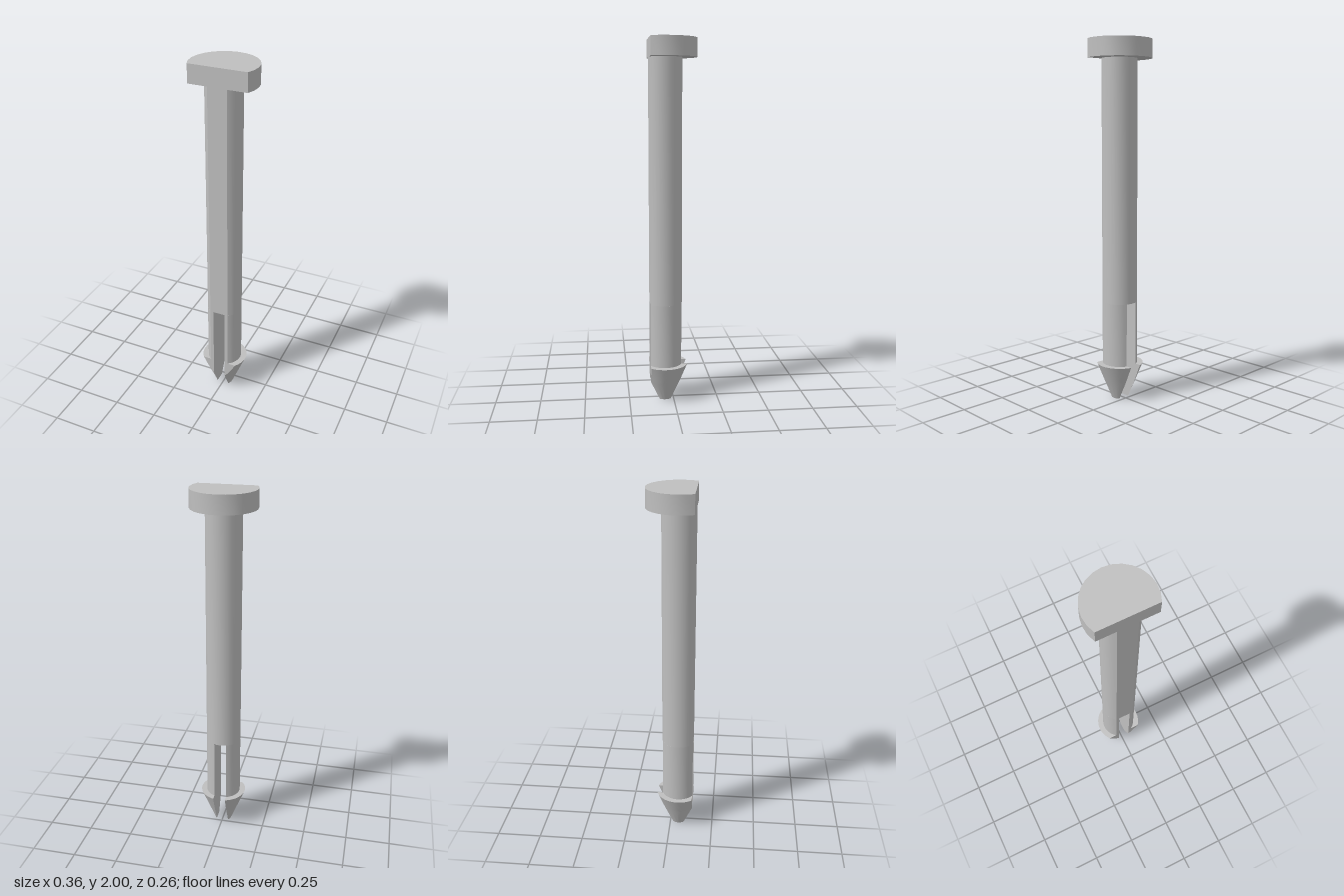
import * as THREE from 'three';
import { toCreasedNormals } from 'three/addons/utils/BufferGeometryUtils.js';

const AXIS_Z = 0.048;  // axis of the round sections
const FLAT = 0.082;    // flat front face, measured from the axis
const SLOT = 0.035;    // half width of the slot
const SLOT_TOP = 0.56;
const BARB_TOP = 0.205;
const SHAFT_R = 0.0975;

// Points on an arc, running clockwise as seen from above
function arc(r, from, to, n) {
  return Array.from({ length: n + 1 }, (_, i) => {
    const a = from + ((to - from) * i) / n;
    return [r * Math.cos(a), r * Math.sin(a)];
  });
}

// Circle with its front cut flat
function dSection(r, n) {
  const b = Math.asin(FLAT / r);
  return arc(r, -Math.PI - b, b, n);
}

// The part of that section on one side of the slot
function halfSection(r, side) {
  const a = Math.acos(SLOT / r);
  const b = Math.min(a, Math.asin(Math.min(1, FLAT / r)));
  const pts = arc(r, -a, b, 12);
  pts.push([SLOT, Math.min(FLAT, r * Math.sin(a))]);
  return side > 0 ? pts : pts.map(([x, z]) => [-x, z]).reverse();
}

// Closed solid through convex sections, listed from bottom to top
function loft(rows) {
  const pos = [];
  const put = (row, i) => {
    const p = row.pts[i % row.pts.length];
    pos.push(p[0], row.y, p[1] + AXIS_Z);
  };
  const n = rows[0].pts.length;
  for (let k = 0; k + 1 < rows.length; k++) {
    const lo = rows[k], hi = rows[k + 1];
    for (let i = 0; i < n; i++) {
      put(lo, i); put(hi, i); put(hi, i + 1);
      put(lo, i); put(hi, i + 1); put(lo, i + 1);
    }
  }
  const bottom = rows[0], top = rows[rows.length - 1];
  for (let i = 1; i < n - 1; i++) {
    put(bottom, 0); put(bottom, i); put(bottom, i + 1);
    put(top, 0); put(top, i + 1); put(top, i);
  }
  const geo = new THREE.BufferGeometry();
  geo.setAttribute('position', new THREE.Float32BufferAttribute(pos, 3));
  return toCreasedNormals(geo, Math.PI / 6);
}

export function createModel() {
  const group = new THREE.Group();
  const grey = new THREE.MeshStandardMaterial({ color: 0xbfbfbf });
  grey.name = 'grey plastic';

  const add = (name, rows) => {
    const mesh = new THREE.Mesh(loft(rows), grey);
    mesh.name = name;
    group.add(mesh);
  };
  const prism = (pts, y0, y1) => [{ y: y0, pts }, { y: y1, pts }];

  // Head and solid upper shaft
  add('head', prism(dSection(0.178, 16), 1.9, 2));
  add('shaft', prism(dSection(SHAFT_R, 24), SLOT_TOP, 1.9));

  // Two legs beside the slot, each ending in a tapered barb
  for (const side of [1, -1]) {
    const label = side > 0 ? 'left' : 'right';
    add(label + 'Leg', prism(halfSection(SHAFT_R, side), BARB_TOP, SLOT_TOP));

    const r0 = 0.047, r1 = 0.13;
    const rFlat = Math.hypot(SLOT, FLAT); // where the front flat begins
    const radii = [r0, rFlat];
    for (let i = 1; i <= 6; i++) radii.push(rFlat + ((r1 - rFlat) * i) / 6);
    add(label + 'Barb', radii.map((r) => ({
      y: (BARB_TOP * (r - r0)) / (r1 - r0),
      pts: halfSection(r, side),
    })));
  }
  return group;
}
